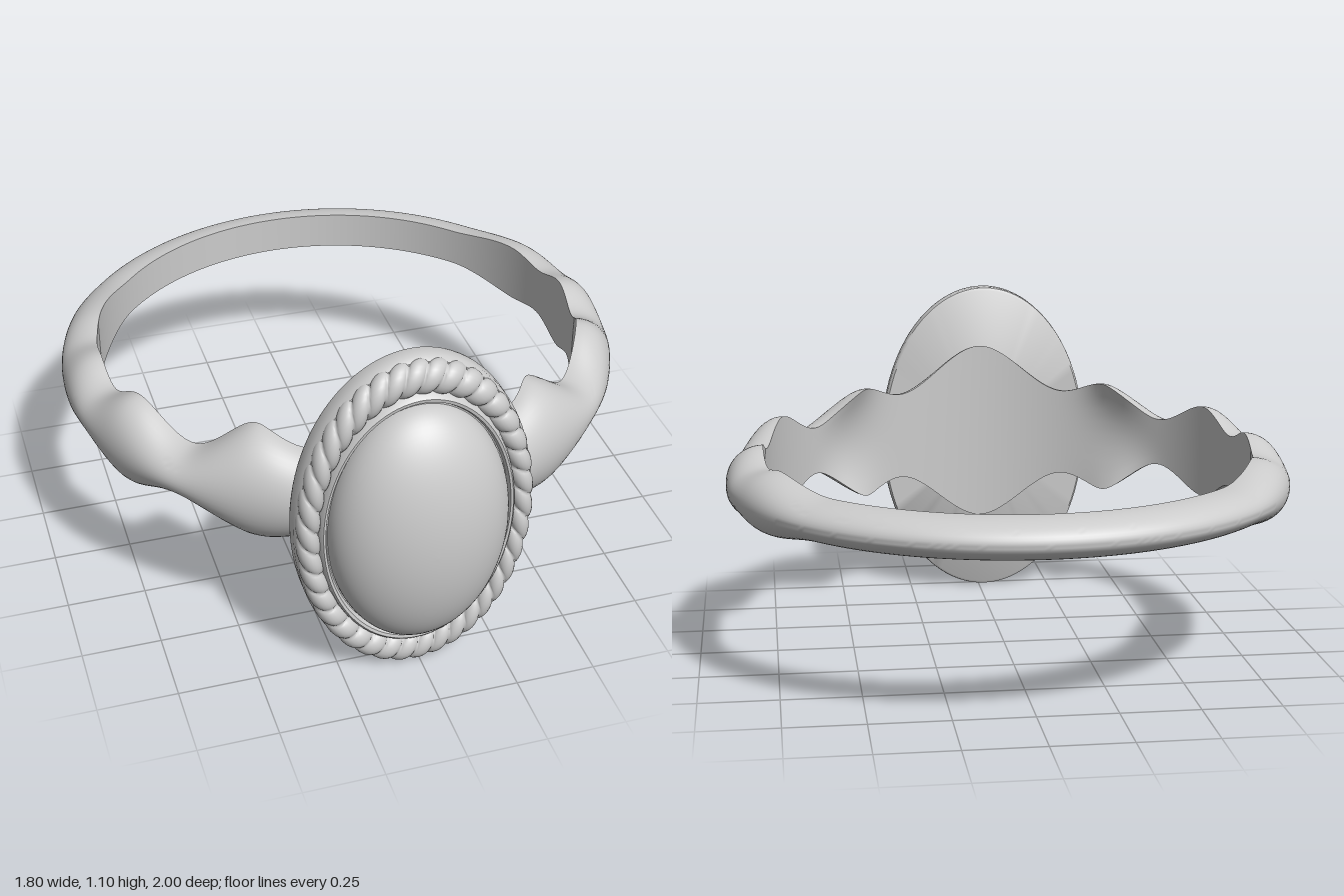
import * as THREE from 'three';
import { toCreasedNormals } from 'three/addons/utils/BufferGeometryUtils.js';

const material = new THREE.MeshStandardMaterial({ color: 0xcccccc });

// Oval head: centre and half axes
const HEAD = { x: -0.02, y: 0.555, a: 0.368, b: 0.55 };

// Half height of the band at angles (degrees) from the front: crests and dips
const CRESTS = [
  [0, 0.31], [22, 0.15], [34, 0.19], [50, 0.08], [66, 0.155], [79, 0.085],
  [89, 0.122], [101, 0.082], [111, 0.098], [132, 0.064], [180, 0.063],
];

function halfHeight(deg) {
  let k = 0;
  while (k < CRESTS.length - 2 && deg > CRESTS[k + 1][0]) k++;
  const [d0, h0] = CRESTS[k], [d1, h1] = CRESTS[k + 1];
  return THREE.MathUtils.lerp(h0, h1, THREE.MathUtils.smoothstep(deg, d0, d1));
}

// Surface closed in both directions; point(u, v) with u, v in 0..1
function closedSurface(nu, nv, point) {
  const positions = [], index = [];
  for (let i = 0; i < nu; i++) {
    for (let j = 0; j < nv; j++) {
      positions.push(...point(i / nu, j / nv));
      const i2 = (i + 1) % nu, j2 = (j + 1) % nv;
      const a = i * nv + j, b = i2 * nv + j, c = i2 * nv + j2, d = i * nv + j2;
      index.push(a, b, c, a, c, d);
    }
  }
  const geometry = new THREE.BufferGeometry();
  geometry.setAttribute('position', new THREE.Float32BufferAttribute(positions, 3));
  geometry.setIndex(index);
  geometry.computeVertexNormals();
  return geometry;
}

// D-shaped section: rounded outside, inner face hollowed at the shoulders
function bandPoint(u, v) {
  const theta = u * Math.PI * 2;
  const deg = THREE.MathUtils.radToDeg(Math.min(theta, Math.PI * 2 - theta));
  const h = halfHeight(deg);
  const edge = 0.78 - 0.045 * Math.exp(-(((deg - 37) / 7) ** 2));
  let r, y;
  if (v < 0.75) {
    const phi = (v / 0.75) * Math.PI;
    y = -h * Math.cos(phi);
    r = edge + (0.9 - edge) * Math.sin(phi);
  } else {
    const t = 1 - (v - 0.75) * 8;
    y = h * t;
    r = 0.78 + (edge - 0.78) * t * t;
  }
  return [r * Math.sin(theta), 0.59 + y, -0.1 + r * Math.cos(theta)];
}

// Twisted cord following the oval
function ropePoint(u, v) {
  const angle = u * Math.PI * 2, phi = v * Math.PI * 2;
  const strand = Math.abs(Math.sin((38 * angle - 2 * phi) / 2));
  const swell = 0.72 + 0.28 * Math.sqrt(strand);
  const s = 0.895 + 0.1 * swell * Math.cos(phi);
  return [
    HEAD.x + HEAD.a * s * Math.cos(angle),
    HEAD.y + HEAD.b * s * Math.sin(angle),
    0.79 + 0.047 * swell * Math.sin(phi),
  ];
}

// Profile of [radius, z] turned about z and stretched to the oval
function ovalLathe(profile) {
  const points = profile.map(([r, z]) => new THREE.Vector2(r, z));
  return new THREE.LatheGeometry(points, 96)
    .rotateX(Math.PI / 2)
    .scale(HEAD.a, HEAD.b, 1)
    .translate(HEAD.x, HEAD.y, 0);
}

export function createModel() {
  const group = new THREE.Group();
  const add = (name, geometry) => {
    const mesh = new THREE.Mesh(geometry, material);
    mesh.name = name;
    group.add(mesh);
  };

  add('band', toCreasedNormals(closedSurface(360, 32, bandPoint), 0.8));

  // Backing plate with a raised lip around the stone
  add('settingPlate', toCreasedNormals(ovalLathe([
    [0, 0.72], [0.98, 0.72], [0.995, 0.725], [1, 0.735], [1, 0.775], [0.98, 0.79],
    [0.83, 0.795], [0.81, 0.825], [0.795, 0.832], [0.775, 0.83], [0.76, 0.815], [0, 0.815],
  ]), 0.7));

  add('ropeBorder', closedSurface(570, 24, ropePoint));

  // Domed oval stone
  const dome = [];
  for (let i = 0; i <= 24; i++) {
    const t = (i / 24) * Math.PI / 2;
    dome.push([0.752 * Math.cos(t), 0.81 + 0.19 * Math.sin(t)]);
  }
  add('stone', ovalLathe(dome));

  return group;
}
